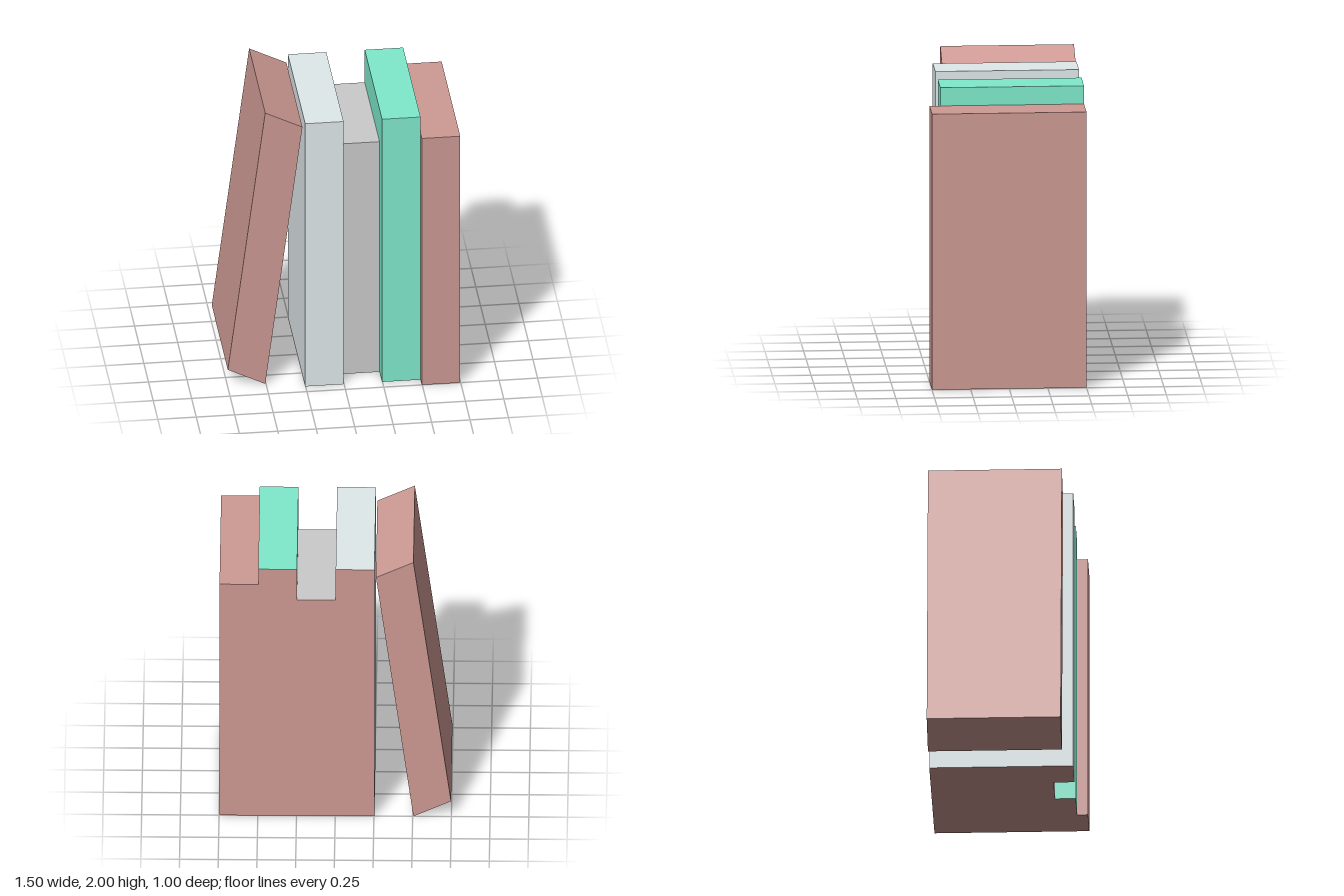
import * as THREE from 'three';

const paint = (color) => new THREE.MeshStandardMaterial({ color, flatShading: true });
const red = paint(0xce9a94);
const pale = paint(0xe1eaec);
const grey = paint(0xcccccc);
const green = paint(0x7febcd);

const BACK = -0.5;
const THICK = 0.25;

// Upright book resting on the ground, its back and underside in red
function uprightBook(name, left, height, front, cover) {
  const depth = front - BACK;
  const geometry = new THREE.BoxGeometry(THICK, height, depth);
  geometry.translate(left + THICK / 2, height / 2, BACK + depth / 2);
  // face order: +x, -x, top, bottom, front, back
  const book = new THREE.Mesh(geometry, [cover, cover, cover, red, cover, red]);
  book.name = name;
  return book;
}

// Slanted book: skewed outline extruded from back to front
function leaningBook() {
  const outline = new THREE.Shape([
    new THREE.Vector2(-0.505, 0),
    new THREE.Vector2(-0.263, 1.88),
    new THREE.Vector2(-0.505, 2),
    new THREE.Vector2(-0.748, 0.12),
  ]);
  const geometry = new THREE.ExtrudeGeometry(outline, { depth: 0.865, bevelEnabled: false });
  geometry.translate(0, 0, BACK);
  const book = new THREE.Mesh(geometry, red);
  book.name = 'leaningBook';
  return book;
}

export function createModel() {
  const group = new THREE.Group();
  group.name = 'bookRow';
  const x0 = -0.253;
  group.add(
    leaningBook(),
    uprightBook('paleBook', x0, 1.94, 0.43, pale),
    uprightBook('greyBook', x0 + THICK, 1.7, 0.295, grey),
    uprightBook('greenBook', x0 + 2 * THICK, 1.94, 0.43, green),
    uprightBook('redBook', x0 + 3 * THICK, 1.82, 0.5, red),
  );
  return group;
}
